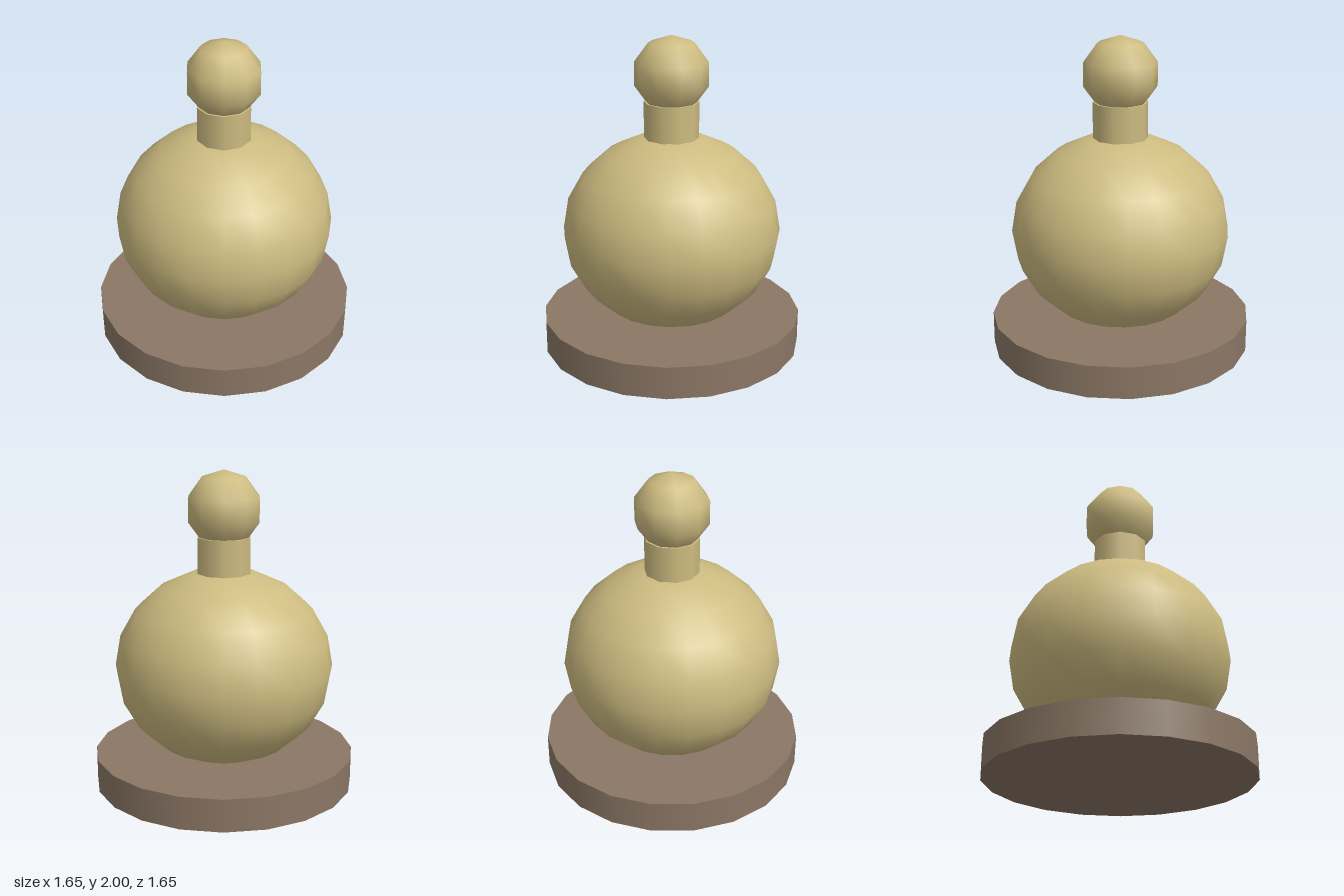
import * as THREE from 'three';

export function createModel() {
  const model = new THREE.Group();
  const gold = new THREE.MeshStandardMaterial({ color: 0xcdbb80 });
  gold.name = 'pale gold';
  const brown = new THREE.MeshStandardMaterial({ color: 0x8b7765 });
  brown.name = 'brown';

  const add = (name, geometry, material, y) => {
    const mesh = new THREE.Mesh(geometry, material);
    mesh.name = name;
    mesh.position.y = y;
    model.add(mesh);
    return mesh;
  };

  // Round plinth
  add('base', new THREE.CylinderGeometry(0.825, 0.825, 0.206, 20), brown, 0.103);

  // Slightly squashed ball, sunk into the plinth
  add('body', new THREE.SphereGeometry(0.688, 20, 10).scale(1, 0.905, 1), gold, 0.765);

  // Neck, turned so that two corners lie on the x axis
  add('neck', new THREE.CylinderGeometry(0.171, 0.171, 0.25, 10).rotateY(Math.PI / 2), gold, 1.465);

  // Knob on top
  add('knob', new THREE.SphereGeometry(0.24, 10, 5), gold, 1.76);

  return model;
}
